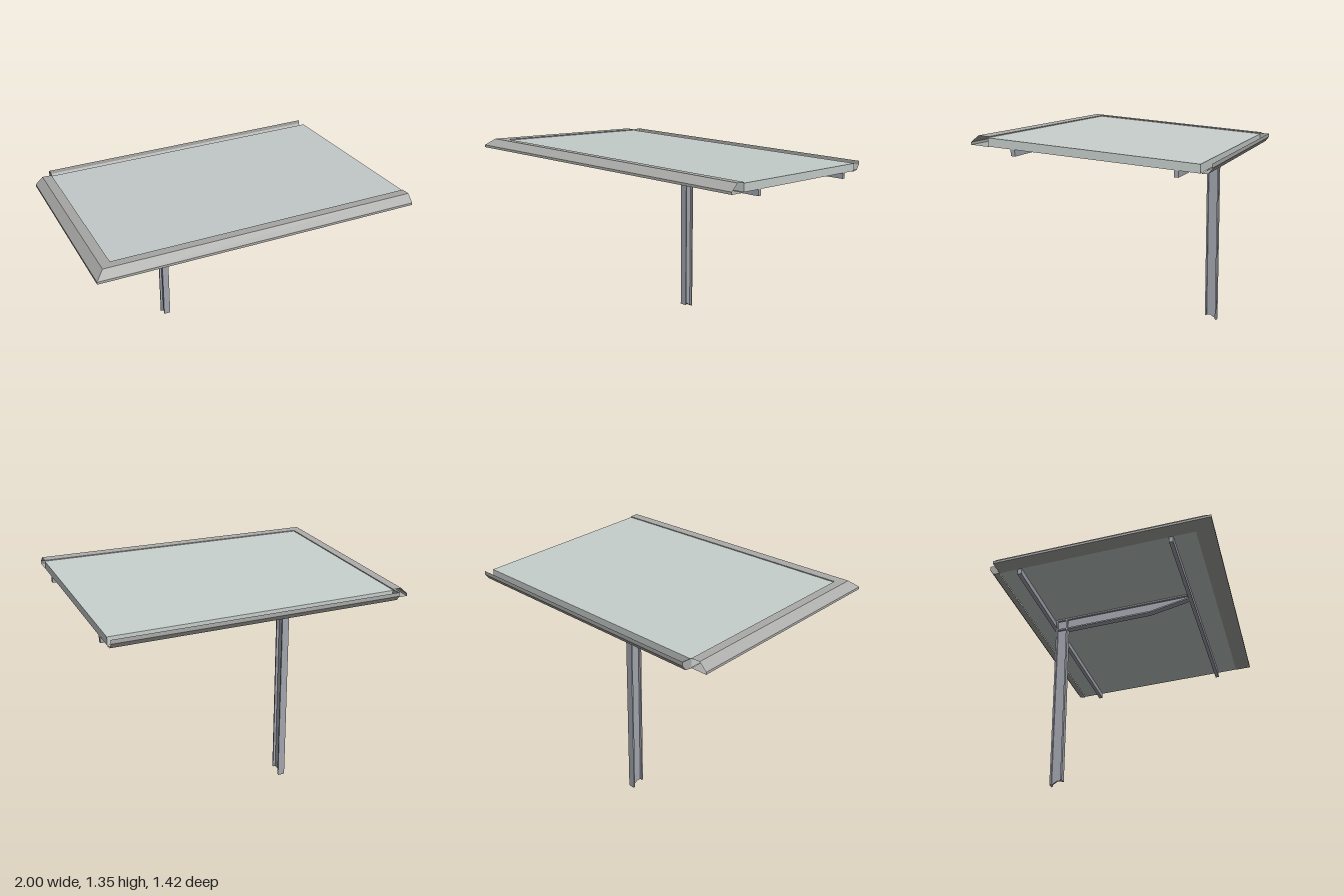
import * as THREE from 'three';

const SLOPE = 0.084;
const under = (z) => 1.236 + SLOPE * z; // underside plane of the roof

const mat = (color) => new THREE.MeshStandardMaterial({ color, flatShading: true, side: THREE.DoubleSide });

// Extrude a (z, y) side profile along x from x0 to x1
function sideExtrude(name, points, x0, x1, material) {
  const shape = new THREE.Shape(points.map(([z, y]) => new THREE.Vector2(-z, y)));
  const geo = new THREE.ExtrudeGeometry(shape, { depth: x1 - x0, bevelEnabled: false });
  geo.rotateY(Math.PI / 2);
  geo.translate(x0, 0, 0);
  const mesh = new THREE.Mesh(geo, material);
  mesh.name = name;
  return mesh;
}

// Open sheet joining successive cross-sections of equal point count
function sheet(name, sections, material) {
  const pos = [];
  for (let i = 0; i < sections.length - 1; i++) {
    const a = sections[i], b = sections[i + 1];
    for (let j = 0; j < a.length - 1; j++) {
      pos.push(...a[j], ...a[j + 1], ...b[j + 1], ...a[j], ...b[j + 1], ...b[j]);
    }
  }
  const geo = new THREE.BufferGeometry();
  geo.setAttribute('position', new THREE.Float32BufferAttribute(pos, 3));
  geo.computeVertexNormals();
  const mesh = new THREE.Mesh(geo, material);
  mesh.name = name;
  return mesh;
}

export function createModel() {
  const group = new THREE.Group();
  const panelMat = mat(0xc6cecc);
  const trimMat = mat(0xaaaaa8);
  const steelMat = mat(0xa2a6ae);

  // Sloping roof panel
  const zf = 0.6, zb = -0.645;
  group.add(sideExtrude('roofPanel', [
    [zf, under(zf) + 0.003], [zf, under(zf) + 0.053],
    [zb, under(zb) + 0.053], [zb, under(zb) + 0.003],
  ], -0.89, 1, panelMat));

  // Hollow bevelled edge trim, mitred at the front corner: [inset, height]
  const trim = [[0.11, 0.05], [0.11, 0.059], [0.05, 0.06], [0, 0.016], [0, 0.001], [0.11, 0.001]];
  const at = (x, z, h) => [x, under(z) + h, z];
  group.add(sheet('edgeTrim', [
    trim.map(([d, h]) => at(1, 0.71 - d, h)),
    trim.map(([d, h]) => at(-1 + d, 0.71 - d, h)),
    trim.map(([d, h]) => at(-1 + d, zb, h)),
  ], trimMat));

  // Open rear gutter with an end cap
  const gutter = [[-0.645, 1.181], [-0.687, 1.184], [-0.71, 1.215], [-0.71, 1.24]];
  group.add(sheet('gutter', [-0.89, 1].map((x) => gutter.map(([z, y]) => [x, y, z])), trimMat));
  group.add(sideExtrude('gutterEnd', [...gutter, [-0.645, 1.24]], -0.89, -0.885, trimMat));

  // Purlins under the panel
  for (const [name, z0, z1] of [['frontPurlin', 0.435, 0.46], ['rearPurlin', -0.525, -0.5]]) {
    group.add(sideExtrude(name, [
      [z1, under(z1) - 0.035], [z1, under(z1) + 0.004],
      [z0, under(z0) + 0.004], [z0, under(z0) - 0.035],
    ], -0.89, 1, steelMat));
  }

  const cx = -0.205, half = 0.023, web = 0.007, t = 0.01;

  // I-section cantilever beam: tapered web with top and bottom flanges
  const beam = new THREE.Group();
  beam.name = 'cantileverBeam';
  beam.add(sideExtrude('beamWeb', [
    [-0.49, 1.112], [0.17, 1.17], [0.435, 1.24], [0.435, 1.274], [-0.49, 1.195],
  ], cx - web, cx + web, steelMat));
  const flange = (name, a, b, h) => beam.add(sideExtrude(name, [
    a, b, [b[0], b[1] + h], [a[0], a[1] + h],
  ], cx - half, cx + half, steelMat));
  flange('topFlange', [-0.495, 1.184], [0.435, 1.264], t);
  flange('bottomFlange', [-0.49, 1.112], [0.17, 1.17], t);
  flange('taperFlange', [0.17, 1.17], [0.435, 1.24], t);
  group.add(beam);

  // I-section column with a notched foot
  const column = new THREE.Group();
  column.name = 'column';
  column.add(sideExtrude('columnWeb', [
    [-0.41, 0.03], [-0.445, 0.03], [-0.49, 0], [-0.49, 1.19], [-0.41, 1.198],
  ], cx - web, cx + web, steelMat));
  column.add(sideExtrude('frontFlange', [
    [-0.41, 0.03], [-0.42, 0.03], [-0.42, 1.197], [-0.41, 1.198],
  ], cx - half, cx + half, steelMat));
  column.add(sideExtrude('rearFlange', [
    [-0.48, 0.007], [-0.49, 0], [-0.49, 1.19], [-0.48, 1.191],
  ], cx - half, cx + half, steelMat));
  group.add(column);

  return group;
}
